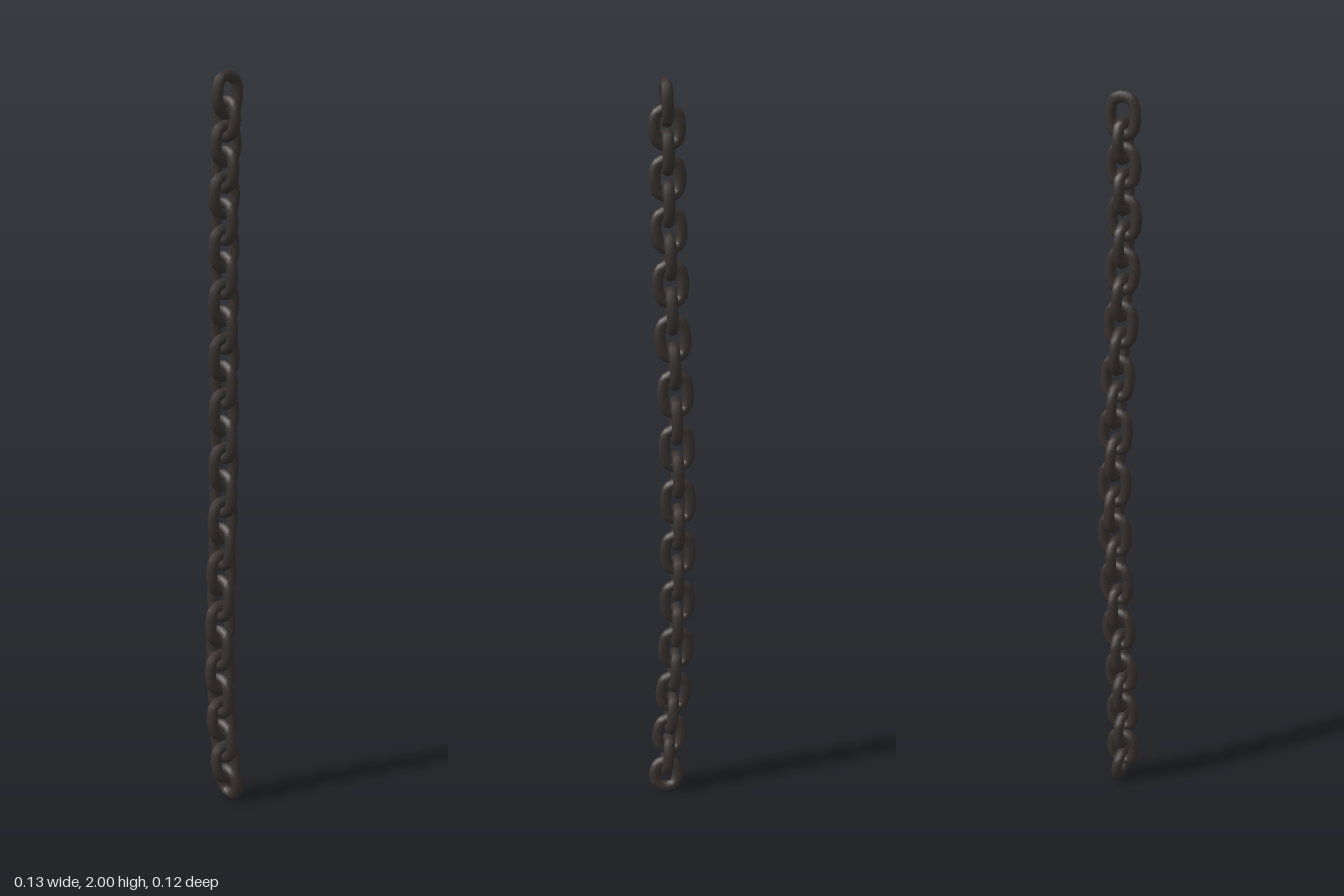
import * as THREE from 'three';

const LINKS = 28;
const WIRE = 0.0155; // wire radius
const HALF_W = 0.0325; // half width of a link's centre line
const CORNER = 0.029;

// One link: a closed tube along a rounded rectangle in the xy plane
function linkGeometry(height) {
  const halfH = height / 2 - WIRE;
  const pts = [];
  for (let q = 0; q < 4; q++) {
    const sx = q === 0 || q === 3 ? 1 : -1;
    const sy = q < 2 ? 1 : -1;
    for (let k = 0; k < 3; k++) {
      const a = (q + k / 2) * Math.PI / 2;
      pts.push(new THREE.Vector3(
        sx * (HALF_W - CORNER) + CORNER * Math.cos(a),
        sy * (halfH - CORNER) + CORNER * Math.sin(a), 0));
    }
  }
  const path = new THREE.CatmullRomCurve3(pts, true);
  return new THREE.TubeGeometry(path, 24, WIRE, 8, true);
}

// Height of a link's centre: links sit closer together toward both ends
function centreY(t) {
  return 1.936 - 1.62 * t - 0.1324 * (1 - Math.cos(Math.PI * t)) - 0.01 * Math.sin(Math.PI * t);
}

// Gentle sway of the chain as [y, x, z]
const sway = [
  [2.0, 0.012, 0.003], [1.87, 0.008, 0.006], [1.67, 0.005, 0.011], [1.4, -0.003, 0.005],
  [1.17, -0.013, -0.004], [0.87, -0.02, -0.008], [0.6, -0.02, 0.001], [0.4, -0.015, 0.011],
  [0.23, -0.004, 0.012], [0.11, 0.008, 0.008], [0.0, 0.018, -0.008],
];

function swayAt(y) {
  let i = 0;
  while (i < sway.length - 2 && y < sway[i + 1][0]) i++;
  const [y0, x0, z0] = sway[i];
  const [y1, x1, z1] = sway[i + 1];
  const f = (y0 - y) / (y0 - y1);
  return new THREE.Vector3(x0 + (x1 - x0) * f, y, z0 + (z1 - z0) * f);
}

export function createModel() {
  const group = new THREE.Group();
  group.name = 'chain';
  const iron = new THREE.MeshStandardMaterial({ color: 0x38322f });
  iron.name = 'dark iron';
  const up = new THREE.Vector3(0, 1, 0);

  for (let i = 0; i < LINKS; i++) {
    const t = i / (LINKS - 1);
    const last = i === LINKS - 1;
    const y = last ? 0.053 : centreY(t);
    const pitch = 0.06 + 0.0154 * Math.sin(Math.PI * t);
    const height = last ? 0.106 : i === 0 ? 0.128 : pitch + 0.061;

    const link = new THREE.Mesh(linkGeometry(height), iron);
    link.name = 'link' + (i + 1);
    link.position.copy(swayAt(y));

    // Lean along the chain, alternate links turned a quarter
    const dir = swayAt(y + 0.05).sub(swayAt(y - 0.05)).normalize();
    link.quaternion.setFromUnitVectors(up, dir);
    if (i % 2 === 0) link.rotateY(Math.PI / 2);
    group.add(link);
  }
  return group;
}
